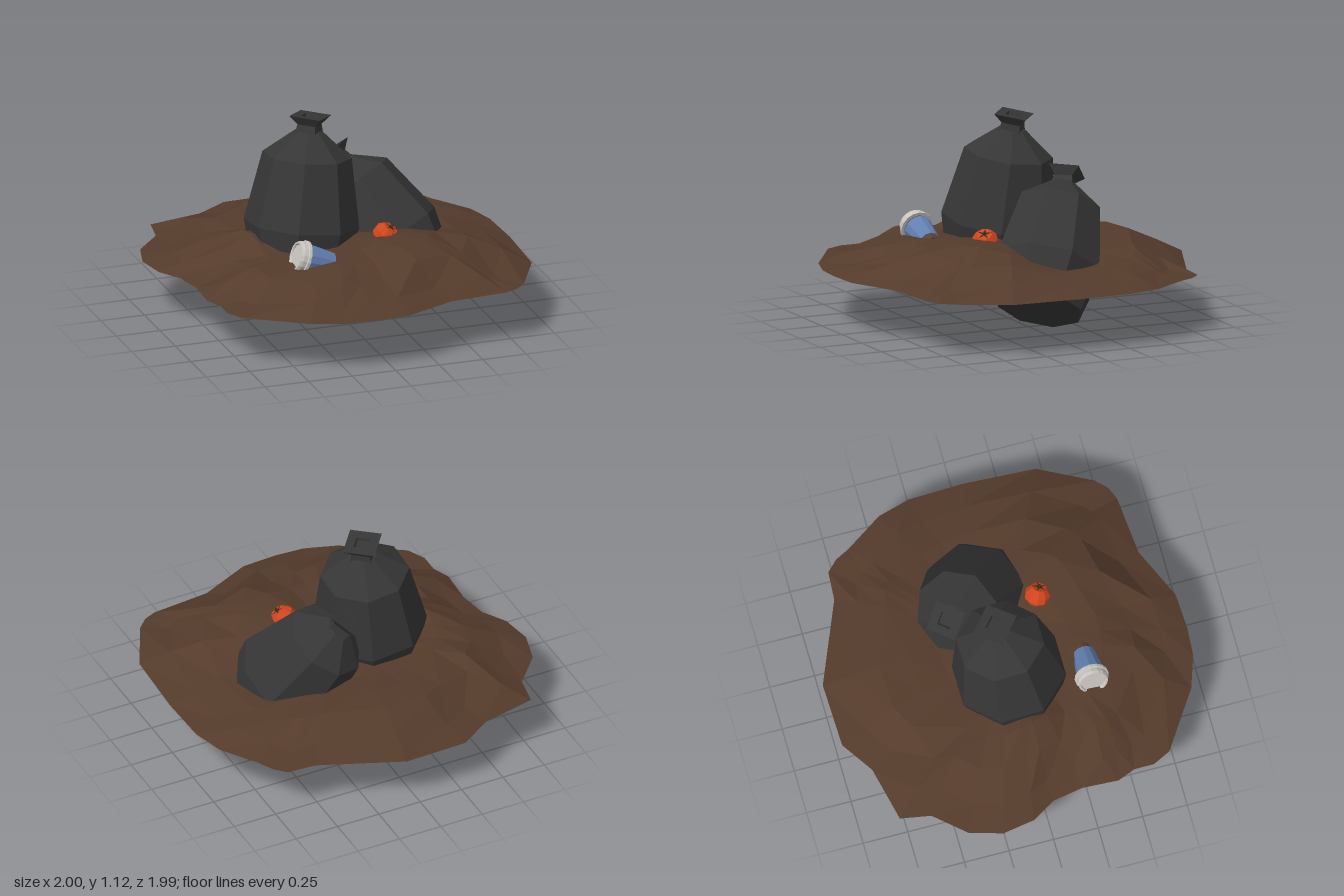
import * as THREE from 'three';

const UP = new THREE.Vector3(0, 1, 0);
const mat = (name, color, side = THREE.FrontSide) => {
  const m = new THREE.MeshStandardMaterial({ color, side });
  m.name = name;
  return m;
};

// Faceted normals for the low-poly look
function facet(geometry) {
  const g = geometry.index ? geometry.toNonIndexed() : geometry;
  g.computeVertexNormals();
  return g;
}

function addMesh(parent, name, geometry, material) {
  const mesh = new THREE.Mesh(geometry, material);
  mesh.name = name;
  parent.add(mesh);
  return mesh;
}

// Revolved profile of [radius, height] pairs, bottom to top
const lathe = (profile, sides, phase = 0) =>
  facet(new THREE.LatheGeometry(profile.map(([r, h]) => new THREE.Vector2(r, h)), sides, phase));

// Group placed at a point with its y axis along a direction
function placed(name, position, axis) {
  const g = new THREE.Group();
  g.name = name;
  g.position.set(...position);
  g.quaternion.setFromUnitVectors(UP, new THREE.Vector3(...axis).normalize());
  return g;
}

// Rim of the mound, clockwise from the back (x, z)
const RIM = [
  [-0.28, -0.99], [0.08, -1.0], [0.54, -0.81], [0.70, -0.80], [0.76, -0.74], [0.80, -0.66],
  [0.94, -0.45], [0.99, -0.27], [1.0, 0.03], [0.98, 0.44], [0.83, 0.73], [0.77, 0.79],
  [0.70, 0.82], [0.37, 0.85], [0.08, 0.98], [-0.12, 0.99], [-0.28, 0.98], [-0.46, 0.92],
  [-0.78, 0.71], [-0.83, 0.61], [-0.83, 0.50], [-0.87, 0.40], [-0.86, 0.20], [-0.89, 0.03],
  [-0.97, -0.10], [-1.0, -0.28], [-0.95, -0.46], [-0.80, -0.63], [-0.77, -0.80], [-0.46, -0.87],
];
const RIM_Y = 0.29;

// Humps and hollows of the mound (x, z, height)
const HUMPS = [
  [-0.1, 0, 0.46], [0, 0.34, 0.45], [0.2, 0.36, 0.505], [0.38, 0.3, 0.5], [0.35, 0.5, 0.51],
  [0.6, 0.27, 0.44], [0.84, 0.22, 0.425], [0.65, -0.12, 0.36], [0.68, -0.38, 0.37],
  [0.4, -0.5, 0.42], [0.1, -0.64, 0.45], [0.3, -0.64, 0.45], [-0.2, -0.62, 0.43],
  [-0.5, -0.4, 0.44], [-0.5, 0, 0.5], [-0.33, 0.42, 0.44], [-0.2, 0.55, 0.45],
  [-0.55, 0.35, 0.44], [-0.72, -0.15, 0.41], [-0.72, 0.35, 0.37], [0, 0.83, 0.36],
  [0.5, 0.7, 0.38], [-0.4, 0.75, 0.36], [0.8, -0.5, 0.35], [-0.6, -0.62, 0.37], [0, -0.82, 0.37],
];
const CONTROLS = [...HUMPS, ...RIM.map(([x, z]) => [x, z, RIM_Y])];

// Ground height by inverse-distance blending
function groundHeight(x, z) {
  let sum = 0, weights = 0;
  for (const [cx, cz, h] of CONTROLS) {
    const w = 1 / (((x - cx) ** 2 + (z - cz) ** 2) ** 1.6 + 1e-4);
    sum += w * h;
    weights += w;
  }
  return sum / weights;
}

// Open shell of rings that grow rounder from the rim to the middle
function moundGeometry() {
  const rings = [1, 0.86, 0.7, 0.53, 0.36, 0.18, 0];
  const n = RIM.length, positions = [], index = [];
  rings.forEach((t, k) => RIM.forEach(([rx, rz]) => {
    const s = t * (t + (1 - t) * 0.96 / Math.hypot(rx, rz));
    const x = rx * s, z = rz * s;
    positions.push(x, k ? groundHeight(x, z) : RIM_Y, z);
  }));
  for (let k = 0; k < rings.length - 1; k++) {
    for (let i = 0; i < n; i++) {
      const a = k * n + i, b = k * n + (i + 1) % n;
      index.push(a, a + n, b);
      if (k < rings.length - 2) index.push(b, a + n, b + n);
    }
  }
  const g = new THREE.BufferGeometry();
  g.setAttribute('position', new THREE.Float32BufferAttribute(positions, 3));
  g.setIndex(index);
  return facet(g);
}

// Tied sack: eight-sided body and a square flared knot
function sack(name, position, axis, scale, phase, material) {
  const g = placed(name, position, axis);
  g.scale.setScalar(scale);
  addMesh(g, 'sackBody', lathe([
    [0, 0], [0.25, 0], [0.314, 0.26], [0.243, 0.64], [0.075, 0.775], [0, 0.775],
  ], 8, phase), material);
  addMesh(g, 'sackKnot', lathe([
    [0.09, 0.74], [0.072, 0.81], [0.088, 0.825], [0.125, 0.858],
    [0.055, 0.858], [0.05, 0.84], [0, 0.84],
  ], 4, 0.08), material);
  return g;
}

export function createModel() {
  const soil = mat('soil brown', 0x543b2b, THREE.DoubleSide);
  const plastic = mat('sack black', 0x363636);
  const lidWhite = mat('lid white', 0xc9c5c0);
  const blue = mat('sleeve blue', 0x6280b2);
  const card = mat('cup brown', 0x5c4030);
  const red = mat('tomato red', 0xd2451e);
  const leaf = mat('stalk dark', 0x39301c, THREE.DoubleSide);

  const model = new THREE.Group();
  model.name = 'rubbishHeap';
  addMesh(model, 'mound', moundGeometry(), soil);

  // Sacks sunk into the mound
  model.add(sack('uprightSack', [-0.208, 0.245, 0], [0.12, 1, -0.1], 1, Math.PI / 8, plastic));
  model.add(sack('leaningSack', [0.45, 0.135, 0.03], [-0.44, 0.8, -0.41], 0.96, 0.75, plastic));

  // Cup lying on its side, lid towards -x
  const cup = placed('cup', [-0.125, 0.405, 0.4], [-0.93, 0.32, 0]);
  addMesh(cup, 'cupBody', lathe([[0, 0], [0.05, 0], [0.078, 0.21], [0, 0.21]], 12), card);
  addMesh(cup, 'cupSleeve', lathe([
    [0.053, 0.035], [0.06, 0.035], [0.08, 0.185], [0.074, 0.185],
  ], 12), blue);
  addMesh(cup, 'cupLid', lathe([
    [0.075, 0.195], [0.094, 0.195], [0.094, 0.21], [0.086, 0.213], [0.086, 0.235],
    [0.08, 0.25], [0.07, 0.25], [0.066, 0.24], [0, 0.24],
  ], 16), lidWhite);
  model.add(cup);

  // Tomato with a five-pointed stalk star
  const tomato = placed('tomato', [0.21, 0.48, 0.24], [0.45, 0.75, 0.3]);
  addMesh(tomato, 'tomatoFlesh', lathe([
    [0, -0.062], [0.04, -0.056], [0.07, -0.018], [0.07, 0.018], [0.042, 0.052], [0, 0.05],
  ], 10), red);
  const star = new THREE.Shape();
  for (let i = 0; i < 10; i++) {
    const r = i % 2 ? 0.012 : 0.042, a = i * Math.PI / 5;
    star[i ? 'lineTo' : 'moveTo'](r * Math.cos(a), r * Math.sin(a));
  }
  star.closePath();
  const leaves = addMesh(tomato, 'tomatoLeaves', new THREE.ShapeGeometry(star), leaf);
  leaves.rotation.x = -Math.PI / 2;
  leaves.position.y = 0.055;
  const stalk = addMesh(tomato, 'tomatoStalk',
    facet(new THREE.CylinderGeometry(0.004, 0.006, 0.02, 5)), leaf);
  stalk.position.y = 0.062;
  model.add(tomato);

  return model;
}
